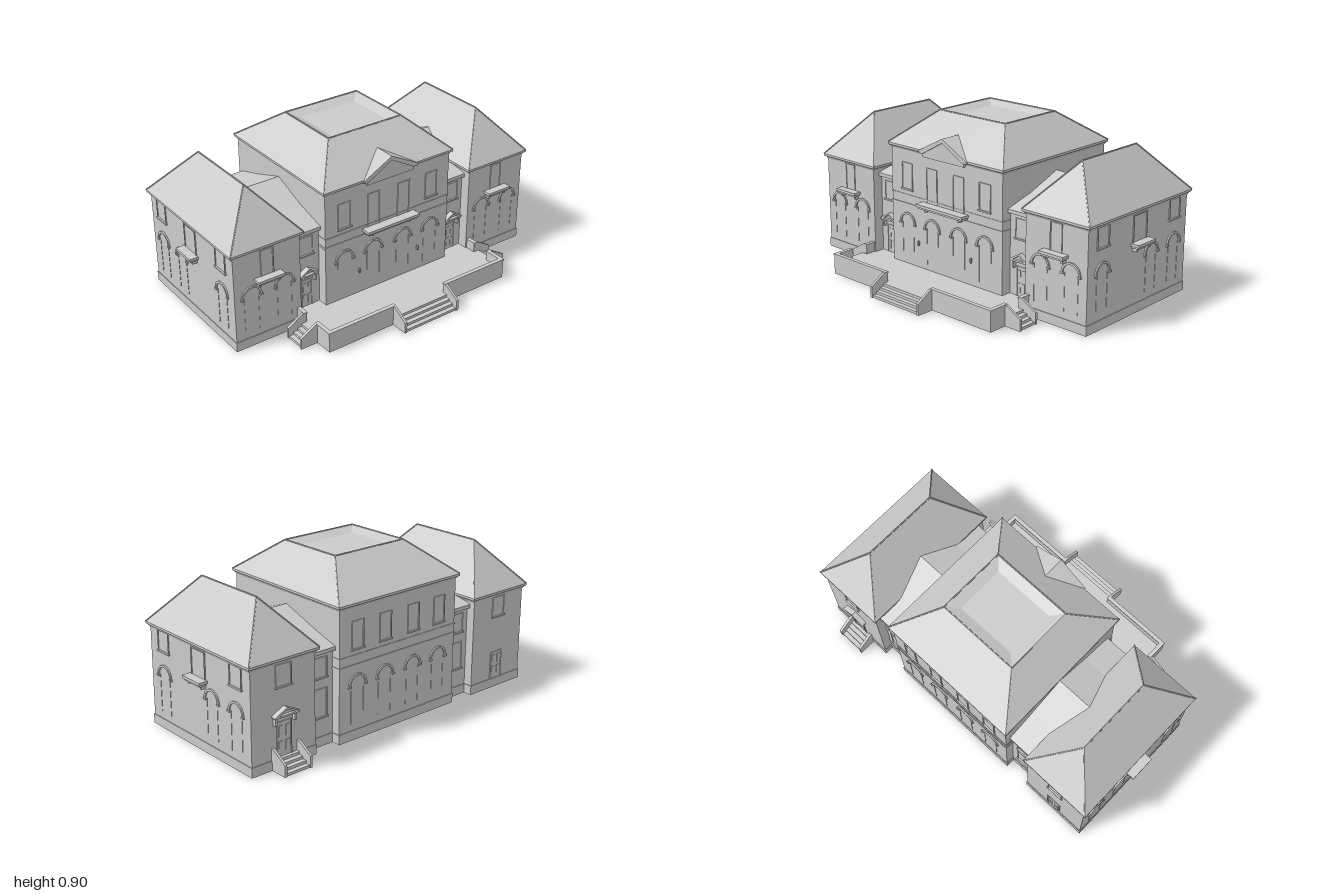
import * as THREE from 'three';

const mat = new THREE.MeshStandardMaterial({ color: 0xcccccc, flatShading: true, side: THREE.DoubleSide });

function mesh(parent, name, geo, x = 0, y = 0, z = 0) {
  const m = new THREE.Mesh(geo, mat);
  m.name = name;
  m.position.set(x, y, z);
  parent.add(m);
  return m;
}
// box given by its extents
const block = (p, name, x0, x1, y0, y1, z0, z1) =>
  mesh(p, name, new THREE.BoxGeometry(x1 - x0, y1 - y0, z1 - z0), (x0 + x1) / 2, (y0 + y1) / 2, (z0 + z1) / 2);

function group(parent, name, x = 0, y = 0, z = 0, rotY = 0) {
  const g = new THREE.Group();
  g.name = name;
  g.position.set(x, y, z);
  g.rotation.y = rotY;
  parent.add(g);
  return g;
}
// outline in x,y pushed from z0 to z1
function prism(parent, name, pts, z0, z1) {
  const s = new THREE.Shape(pts.map(p => new THREE.Vector2(...p)));
  return mesh(parent, name, new THREE.ExtrudeGeometry(s, { depth: z1 - z0, bevelEnabled: false }), 0, 0, z0);
}
const corners = ([x0, x1, z0, z1, y]) => [[x0, y, z1], [x1, y, z1], [x1, y, z0], [x0, y, z0]];

// roof lofted through rectangular rings [x0, x1, z0, z1, y]
function loft(parent, name, rings) {
  const v = [], c = rings.map(corners);
  for (let k = 0; k + 1 < c.length; k++) {
    for (let i = 0; i < 4; i++) {
      const j = (i + 1) % 4, a = c[k][i], b = c[k][j], d = c[k + 1][j], e = c[k + 1][i];
      v.push(...a, ...b, ...d, ...a, ...d, ...e);
    }
  }
  const t = c[c.length - 1];
  v.push(...t[0], ...t[1], ...t[2], ...t[0], ...t[2], ...t[3]);
  const g = new THREE.BufferGeometry();
  g.setAttribute('position', new THREE.Float32BufferAttribute(v, 3));
  g.computeVertexNormals();
  mesh(parent, name, g);
}
// thin round tile along a hip or ridge
function roll(parent, a, b) {
  const A = new THREE.Vector3(...a), B = new THREE.Vector3(...b);
  if (A.distanceTo(B) < 0.001) return;
  mesh(parent, 'ridgeRoll', new THREE.TubeGeometry(new THREE.LineCurve3(A, B), 1, 0.004, 6));
}
function hipRoof(parent, eave, top, well) {
  const [x0, x1, z0, z1, y] = eave, inset = (d, yy) => [x0 + d, x1 - d, z0 + d, z1 - d, yy];
  loft(parent, 'hipRoof', [inset(0.016, y - 0.03), inset(0.009, y - 0.018), inset(0, y - 0.012), eave, top, ...(well ? [well] : [])]);
  const e = corners(eave), t = corners(top);
  for (let i = 0; i < 4; i++) {
    roll(parent, e[i], t[i]);
    roll(parent, t[i], t[(i + 1) % 4]);
  }
}

// wall features: local z = 0 is the wall, +z points outward
function frame(p, name, x, y0, y1, w, sill = true) {
  const h = w / 2, t = 0.006, g = group(p, name, x);
  for (const s of [-1, 1]) block(g, 'jamb', s * h - t / 2, s * h + t / 2, y0, y1, -0.004, 0.005);
  block(g, 'head', -h - t / 2, h + t / 2, y1 - t, y1, -0.004, 0.005);
  block(g, 'pane', -h, h, y0, y1, -0.004, 0.001);
  if (sill) block(g, 'sill', -h - 0.007, h + 0.007, y0 - 0.008, y0, -0.004, 0.01);
  return g;
}
function arch(p, x, y = 0.295, r = 0.06) {
  const g = group(p, 'archedOpening', x);
  const s = new THREE.Shape();
  s.absarc(0, 0, r, 0, Math.PI, false);
  s.absarc(0, 0, r - 0.011, Math.PI, 0, true);
  mesh(g, 'archHood', new THREE.ExtrudeGeometry(s, { depth: 0.012, bevelEnabled: false, curveSegments: 14 }), 0, y, -0.004);
  for (const k of [-1, 1]) {
    block(g, 'impost', k * (r - 0.005) - 0.009, k * (r - 0.005) + 0.009, y - 0.009, y, -0.004, 0.01);
    block(g, 'archJamb', k * (r - 0.018) - 0.002, k * (r - 0.018) + 0.002, 0.09, y, -0.004, 0.002);
  }
}
function balcony(p, x, y, w, d) {
  const g = group(p, 'balcony', x, y);
  block(g, 'ledge', -w / 2, w / 2, 0.007, 0.022, -0.01, d);
  block(g, 'ledgeMoulding', -w / 2 + 0.008, w / 2 - 0.008, -0.004, 0.007, -0.01, d - 0.008);
  for (const s of [-1, 1]) block(g, 'bracket', s * w * 0.36 - 0.006, s * w * 0.36 + 0.006, -0.022, -0.004, -0.005, d * 0.55);
}
function door(p, x, y0, y1, w, hood) {
  const g = frame(p, 'door', x, y0, y1, w, false);
  for (const s of [-1, 1])
    for (const k of [0.12, 0.56])
      block(g, 'doorPanel', s * w / 4 - w * 0.15, s * w / 4 + w * 0.15, y0 + (y1 - y0) * k, y0 + (y1 - y0) * (k + 0.32), 0, 0.004);
  if (!hood) return;
  const h = w / 2 + 0.03, yh = y1 + 0.03;
  for (const s of [-1, 1]) block(g, 'hoodBracket', s * (h - 0.014) - 0.006, s * (h - 0.014) + 0.006, y1 - 0.01, yh, -0.004, 0.018);
  block(g, 'hoodBase', -h, h, yh, yh + 0.009, -0.004, 0.028);
  prism(g, 'hoodTympanum', [[-h, yh + 0.009], [h, yh + 0.009], [0, yh + 0.04]], -0.004, 0.012);
  prism(g, 'hoodCornice', [[-h - 0.004, yh + 0.009], [-h + 0.02, yh + 0.009], [0, yh + 0.036], [h - 0.02, yh + 0.009], [h + 0.004, yh + 0.009], [0, yh + 0.046]], -0.004, 0.03);
}
function lantern(p, x) {
  mesh(p, 'lantern', new THREE.SphereGeometry(0.008, 8, 6), x, 0.2, 0.012).scale.y = 2;
}
// flight of steps running out along local +z between sloped cheeks
function stairs(parent, w, x, z, rotY) {
  const g = group(parent, 'steps', x, 0, z, rotY), d = 0.1, n = 4;
  for (let i = 0; i < n; i++) block(g, 'step', -w / 2, w / 2, 0, 0.058 * (n - i) / n, -0.02, d * (i + 1) / n - 0.005);
  for (const s of [-1, 1]) {
    const c = prism(g, 'stepCheek', [[-0.01, 0], [d, 0], [d, 0.062], [0.01, 0.115], [-0.01, 0.115]], -0.007, 0.007);
    c.rotation.y = -Math.PI / 2;
    c.position.set(s * (w / 2 - 0.007) + 0.007, 0, 0);
  }
}
// walls with plinth
function body(p, x0, x1, z0, z1, h) {
  block(p, 'walls', x0, x1, 0, h, z0, z1);
  block(p, 'plinth', x0 - 0.004, x1 + 0.004, 0, 0.052, z0 - 0.004, z1 + 0.004);
}

export function createModel() {
  const root = new THREE.Group();
  root.name = 'villa';
  const F = 0.27, B = -0.555;

  // central block
  const main = group(root, 'centralBlock');
  body(main, -0.405, 0.405, B, F, 0.715);
  block(main, 'stringCourse', -0.409, 0.409, 0.395, 0.407, B - 0.004, F + 0.004);
  block(main, 'upperSillCourse', -0.408, 0.408, 0.45, 0.457, B - 0.003, F + 0.003);
  hipRoof(main, [-0.42, 0.42, -0.57, 0.284, 0.73], [-0.235, 0.235, -0.33, 0.065, 0.9], [-0.175, 0.175, -0.27, 0.005, 0.875]);
  const mf = group(main, 'centralFront', 0, 0, F), mb = group(main, 'centralBack', 0, 0, B, Math.PI);
  for (const x of [-0.285, -0.098, 0.098, 0.285]) {
    arch(mf, x);
    arch(mb, x);
    frame(mf, 'upperWindow', x, Math.abs(x) > 0.2 ? 0.49 : 0.44, 0.635, 0.075);
    frame(mb, 'upperWindow', x, 0.49, 0.635, 0.075);
  }
  balcony(mf, 0, 0.418, 0.34, 0.055);
  for (const s of [-1, 1]) lantern(mf, s * 0.195);

  // front gable
  prism(main, 'gable', [[-0.15, 0.695], [0.15, 0.695], [0.15, 0.73], [0, 0.808], [-0.15, 0.73]], 0.15, 0.286);
  prism(main, 'gableRoof', [[-0.175, 0.715], [-0.145, 0.715], [0, 0.797], [0.145, 0.715], [0.175, 0.715], [0.175, 0.728], [0, 0.82], [-0.175, 0.728]], 0.15, 0.292);

  for (const s of [-1, 1]) {
    // side wing
    const wing = group(root, s > 0 ? 'leftWing' : 'rightWing');
    const xc = s * 0.755, x0 = xc - 0.195, x1 = xc + 0.195;
    body(wing, x0, x1, B, F, 0.55);
    hipRoof(wing, [xc - 0.213, xc + 0.213, -0.57, 0.284, 0.562], [xc, xc, -0.36, 0.08, 0.808]);
    const wf = group(wing, 'wingFront', xc, 0, F);
    for (const k of [-1, 1]) arch(wf, k * 0.097);
    balcony(wf, 0, 0.365, 0.155, 0.045);
    frame(wf, 'balconyDoor', 0, 0.387, 0.535, 0.07, false);
    const wb = group(wing, 'wingBack', xc, 0, B, Math.PI);
    frame(wb, 'upperWindow', 0, 0.42, 0.53, 0.09);
    door(wb, 0, 0.058, s > 0 ? 0.24 : 0.21, 0.085, s > 0);
    const ws = group(wing, 'wingSide', s * 0.95, 0, -0.145, s * Math.PI / 2);
    for (const z of [0.155, -0.25, -0.445]) arch(ws, -s * (z + 0.145));
    for (const z of [0.155, -0.445]) frame(ws, 'upperWindow', -s * (z + 0.145), 0.43, 0.54, 0.09);
    balcony(ws, 0, 0.365, 0.145, 0.05);
    frame(ws, 'balconyDoor', 0, 0.387, 0.53, 0.11, false);

    // link between central block and wing
    const link = group(root, s > 0 ? 'leftLink' : 'rightLink', s * 0.485);
    body(link, -0.1, 0.09, -0.505, 0.21, 0.5);
    block(link, 'linkCornice', -0.1, 0.08, 0.497, 0.517, -0.525, 0.23);
    const roof = prism(link, 'linkRoof', [[-0.23, 0.51], [0.525, 0.51], [0.525, 0.517], [0.37, 0.565], [0.15, 0.642], [-0.05, 0.565], [-0.23, 0.517]], -0.13, 0.13);
    roof.rotation.y = Math.PI / 2;
    roof.position.set(-0.13, 0, 0);
    const lf = group(link, 'linkFront', 0, 0, 0.21);
    frame(lf, 'upperWindow', 0, 0.37, 0.475, 0.085);
    door(lf, 0, 0.058, 0.22, 0.06, true);
    const lb = group(link, 'linkBack', 0, 0, -0.505, Math.PI);
    frame(lb, 'upperWindow', 0, 0.37, 0.475, 0.08);
    frame(lb, 'lowerWindow', 0, 0.16, 0.31, 0.08);
  }

  // terrace with parapet and steps
  const terrace = group(root, 'terrace');
  block(terrace, 'terraceFloor', -0.58, 0.58, 0, 0.058, 0.2, 0.55);
  for (const s of [-1, 1]) {
    const parapet = (a, b, z0, z1) => {
      const x0 = Math.min(s * a, s * b), x1 = Math.max(s * a, s * b);
      block(terrace, 'parapet', x0, x1, 0, 0.108, z0, z1);
      block(terrace, 'parapetCoping', x0 - 0.003, x1 + 0.003, 0.108, 0.116, z0 - 0.003, z1 + 0.003);
    };
    parapet(0.168, 0.585, 0.535, 0.552);
    parapet(0.568, 0.585, 0.435, 0.535);
    parapet(0.568, 0.585, 0.268, 0.33);
    stairs(terrace, 0.13, s * 0.583, 0.383, s * Math.PI / 2);
  }
  stairs(terrace, 0.36, 0, 0.55, 0);
  stairs(root, 0.17, 0.747, B, Math.PI);

  return root;
}
